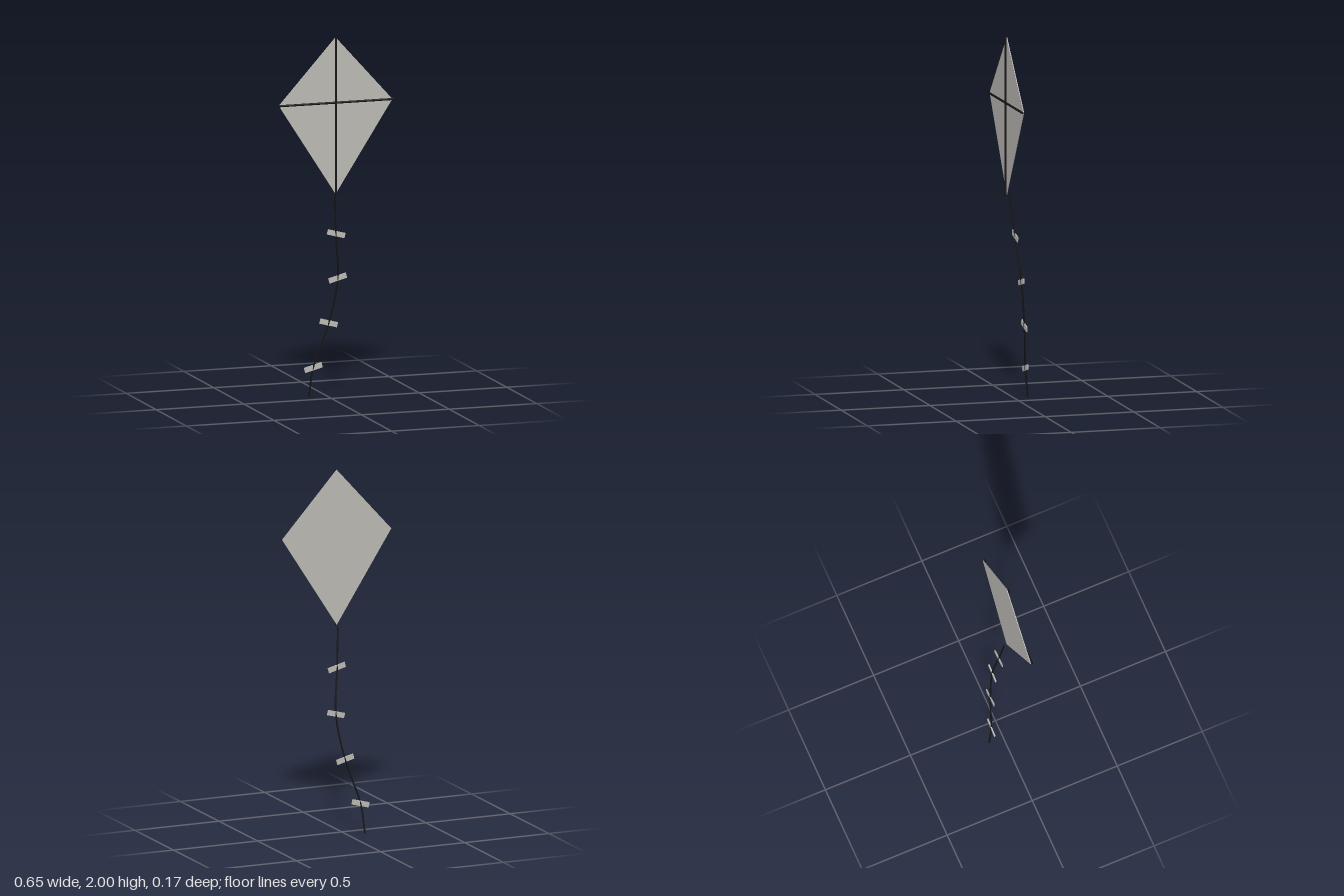
import * as THREE from 'three';

export function createModel() {
  const group = new THREE.Group();
  const cloth = new THREE.MeshStandardMaterial({ color: 0xbcbab4 });
  cloth.name = 'pale grey cloth';
  const dark = new THREE.MeshStandardMaterial({ color: 0x141414 });
  dark.name = 'black spar and cord';

  const add = (name, geometry, material, x = 0, y = 0, z = 0) => {
    const mesh = new THREE.Mesh(geometry, material);
    mesh.name = name;
    mesh.position.set(x, y, z);
    group.add(mesh);
    return mesh;
  };

  // Diamond sail
  const top = 1.998, bottom = 1.137, crossY = 1.64, half = 0.324;
  const diamond = new THREE.Shape([
    new THREE.Vector2(0, bottom),
    new THREE.Vector2(half, crossY),
    new THREE.Vector2(0, top),
    new THREE.Vector2(-half, crossY),
  ]);
  add('sail', new THREE.ExtrudeGeometry(diamond, { depth: 0.004, bevelEnabled: false }), cloth, 0, 0, 0.0655);

  // Crossed spars on the front of the sail
  const spar = (length) => new THREE.CylinderGeometry(0.006, 0.006, length, 12);
  add('uprightSpar', spar(0.867), dark, 0, 1.5665, 0.0755);
  add('crossSpar', spar(0.652), dark, 0, crossY, 0.0755).rotation.z = Math.PI / 2;

  // Tail cord, leaning back as it falls
  const tailZ = (y) => -0.08 + 0.132 * (y / 1.13);
  const path = [[0, 1.13], [0.016, 0.91], [0.037, 0.66], [-0.005, 0.41], [-0.083, 0.165], [-0.101, 0.002]]
    .map(([x, y]) => new THREE.Vector3(x, y, tailZ(y)));
  const cord = new THREE.CatmullRomCurve3(path);
  add('tailCord', new THREE.TubeGeometry(cord, 64, 0.0048, 8), dark);
  [0, 1].forEach((t) => {
    const cap = add('tailCordEnd', new THREE.CircleGeometry(0.0048, 8), dark);
    const end = cord.getPointAt(t);
    cap.position.copy(end);
    cap.lookAt(end.clone().add(cord.getTangentAt(t).multiplyScalar(t ? 1 : -1)));
  });

  // Tail bows, tilted alternately
  [[0.018, 0.91], [0.036, 0.66], [-0.005, 0.411], [-0.083, 0.165]].forEach(([x, y], i) => {
    const bow = add('tailBow' + (i + 1), new THREE.BoxGeometry(0.103, 0.029, 0.006), cloth, x, y, tailZ(y));
    bow.rotation.z = i % 2 ? 0.26 : -0.26;
  });

  return group;
}
